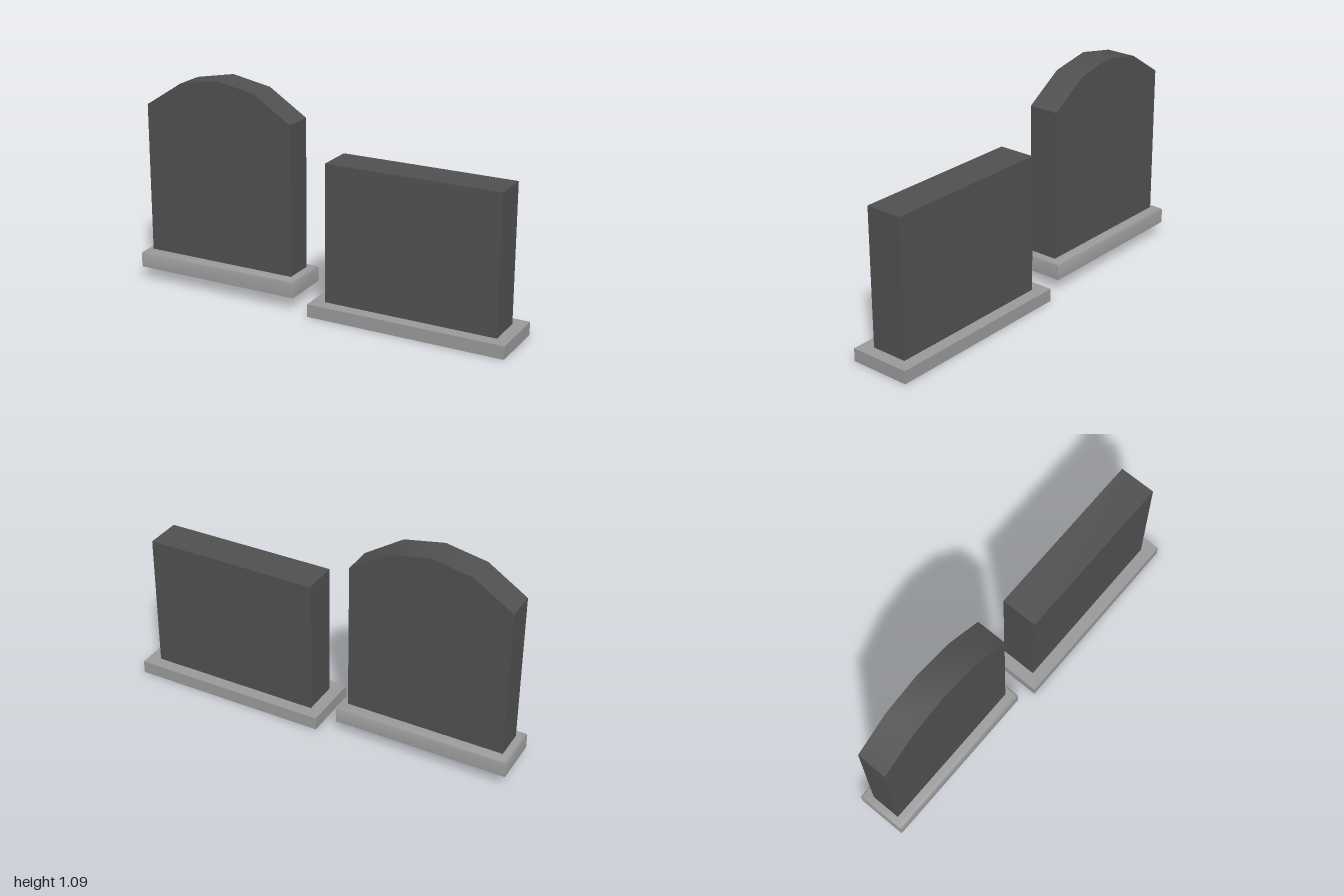
import * as THREE from 'three';
import { toCreasedNormals } from 'three/addons/utils/BufferGeometryUtils.js';

const stoneMat = new THREE.MeshStandardMaterial({ color: 0x505050 });
const baseMat = new THREE.MeshStandardMaterial({ color: 0x999999 });

function add(parent, name, geometry, material) {
  const mesh = new THREE.Mesh(geometry, material);
  mesh.name = name;
  parent.add(mesh);
  return mesh;
}

// Box standing on y = bottom, centred on x and z
function block(width, bottom, top, depth) {
  return new THREE.BoxGeometry(width, top - bottom, depth).translate(0, (top + bottom) / 2, 0);
}

// Rectangular plinth stacked from rings of [inset, y]
function plinth(width, depth, rings) {
  const corners = [[-1, 1], [1, 1], [1, -1], [-1, -1]];
  const positions = [];
  const index = [];
  for (const [inset, y] of rings) {
    for (const [sx, sz] of corners) {
      positions.push(sx * (width / 2 - inset), y, sz * (depth / 2 - inset));
    }
  }
  for (let r = 0; r < rings.length - 1; r++) {
    for (let i = 0; i < 4; i++) {
      const a = r * 4 + i, b = r * 4 + (i + 1) % 4;
      index.push(a, b, b + 4, a, b + 4, a + 4);
    }
  }
  const t = (rings.length - 1) * 4;
  index.push(0, 2, 1, 0, 3, 2, t, t + 1, t + 2, t, t + 2, t + 3);
  const g = new THREE.BufferGeometry();
  g.setAttribute('position', new THREE.Float32BufferAttribute(positions, 3));
  g.setIndex(index);
  return toCreasedNormals(g, 0.6);
}

// Upright slab with a faceted arched top
function archedSlab(halfWidth, bottom, depth) {
  const shape = new THREE.Shape([
    [-halfWidth, bottom], [halfWidth, bottom], [halfWidth, 0.918],
    [0.208, 1.046], [0, 1.085], [-0.208, 1.046], [-halfWidth, 0.918],
  ].map(([x, y]) => new THREE.Vector2(x, y)));
  const g = new THREE.ExtrudeGeometry(shape, { depth, bevelEnabled: false });
  return toCreasedNormals(g.translate(0, 0, -depth / 2), 0.6);
}

export function createModel() {
  const model = new THREE.Group();
  model.name = 'headstones';

  // Arched headstone on a plinth with softened upper edges
  const arched = new THREE.Group();
  arched.name = 'archedHeadstone';
  arched.position.set(-0.556, 0, 0.001);
  add(arched, 'archedBase', plinth(0.888, 0.257, [
    [0, 0.066], [0, 0.138], [0.005, 0.147], [0.02, 0.153],
  ]), baseMat);
  add(arched, 'archedSlab', archedSlab(0.406, 0.15, 0.156), stoneMat);

  // Square headstone on a plain plinth
  const square = new THREE.Group();
  square.name = 'squareHeadstone';
  square.position.set(0.492, 0, 0.001);
  add(square, 'squareBase', block(1.016, 0, 0.066, 0.316), baseMat);
  add(square, 'squareSlab', block(0.89, 0.064, 0.765, 0.189), stoneMat);

  model.add(arched, square);
  return model;
}
